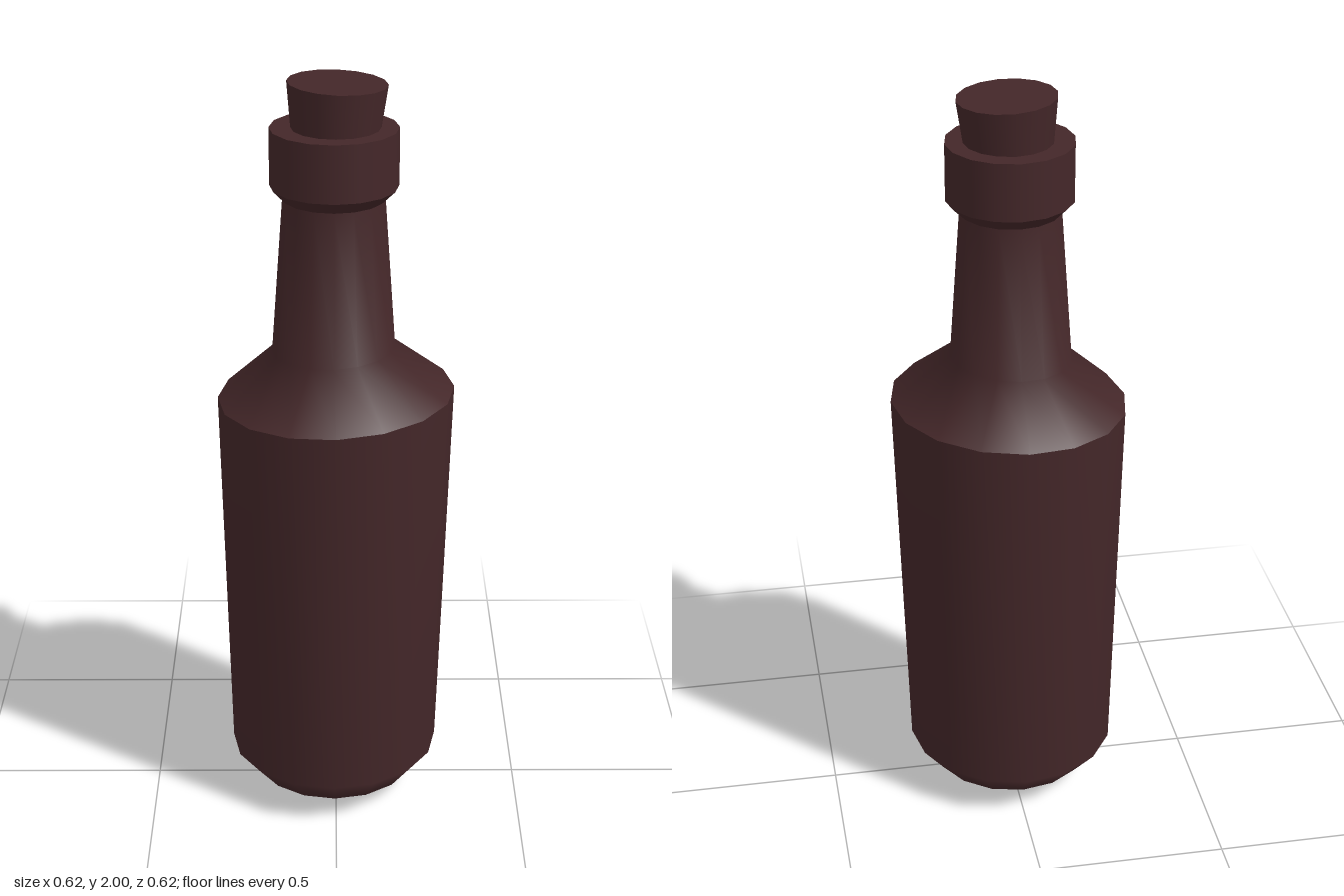
import * as THREE from 'three';

const SIDES = 16;

// Smooth lathed strip from rings [radius, y, xOffset, slope]; slope tips the ring along x.
function strip(name, rings, material) {
  const profile = rings.map(([r, y]) => new THREE.Vector2(r, y));
  const geometry = new THREE.LatheGeometry(profile, SIDES);
  const p = geometry.attributes.position;
  for (let i = 0; i < p.count; i++) {
    const [, , dx = 0, slope = 0] = rings[i % rings.length];
    const x = p.getX(i);
    p.setX(i, x + dx);
    p.setY(i, p.getY(i) + slope * x);
  }
  const mesh = new THREE.Mesh(geometry, material);
  mesh.name = name;
  return mesh;
}

export function createModel() {
  const glass = new THREE.MeshStandardMaterial({ color: 0x442729 });
  glass.name = 'dark brown';

  // Rings shared by neighbouring strips, so hard edges stay closed
  const rim = [0.309, 1.172, 0, 0.05];
  const neckTop = [0.13, 1.7, -0.005];
  const collarLow = [0.163, 1.733, -0.004];
  const collarTop = [0.163, 1.882, -0.004];
  const corkTop = [0.126, 1.994, 0.004, -0.045];

  const bottle = new THREE.Group();
  bottle.name = 'bottle';
  bottle.add(
    // Body with a rounded foot
    strip('body', [
      [0, 0.003],
      [0.137, 0.003, -0.004, 0.01],
      [0.222, 0.055, -0.003, 0.01],
      [0.282, 0.128, -0.005, 0.01],
      rim,
    ], glass),
    // Shoulder flowing into the tapered neck
    strip('shoulderAndNeck', [rim, [0.159, 1.298, -0.006, 0.05], neckTop], glass),
    // Collar around the mouth
    strip('collarUnderside', [neckTop, collarLow], glass),
    strip('collarSide', [collarLow, collarTop], glass),
    strip('collarTop', [collarTop, [0, 1.882, -0.004]], glass),
    // Slightly crooked stopper
    strip('stopperSide', [[0.113, 1.88], corkTop], glass),
    strip('stopperTop', [corkTop, [0, 1.994, 0.004]], glass),
  );
  return bottle;
}
